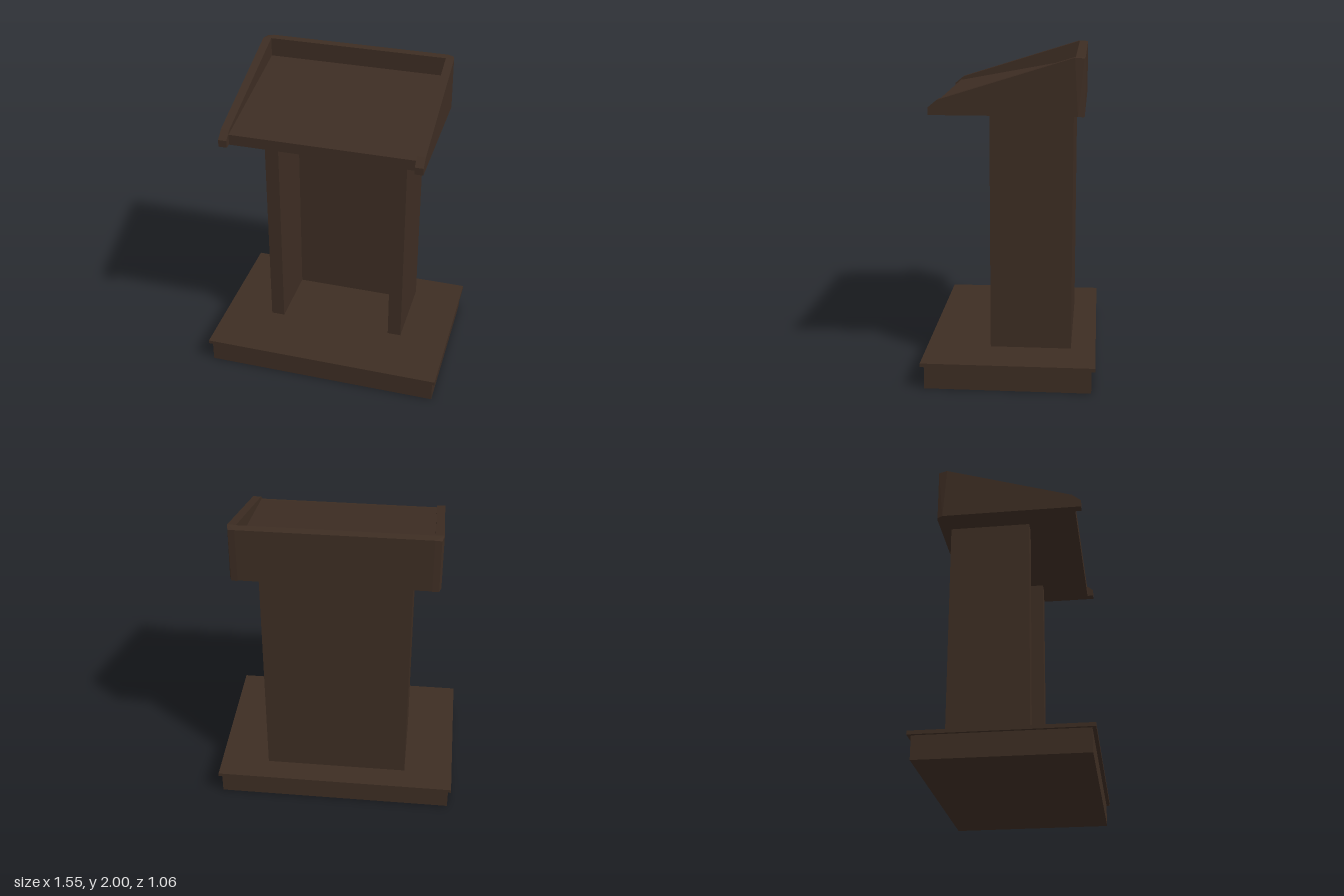
import * as THREE from 'three';
import { ConvexGeometry } from 'three/addons/geometries/ConvexGeometry.js';

export function createModel() {
  const group = new THREE.Group();
  group.name = 'lectern';
  const darkWood = new THREE.MeshStandardMaterial({ color: 0x3d2d23 });
  darkWood.name = 'darkWood';

  const add = (name, geometry) => {
    const mesh = new THREE.Mesh(geometry, darkWood);
    mesh.name = name;
    group.add(mesh);
    return mesh;
  };

  // Box given by its min and max on each axis
  const box = (name, x0, x1, y0, y1, z0, z1) =>
    add(name, new THREE.BoxGeometry(x1 - x0, y1 - y0, z1 - z0))
      .position.set((x0 + x1) / 2, (y0 + y1) / 2, (z0 + z1) / 2);

  // Side profile in (z, y), extruded from x0 to x1
  const profile = (name, points, x0, x1) => {
    const shape = new THREE.Shape(points.map(([z, y]) => new THREE.Vector2(z, y)));
    const mesh = add(name, new THREE.ExtrudeGeometry(shape, { depth: x1 - x0, bevelEnabled: false }));
    mesh.rotation.y = -Math.PI / 2;
    mesh.position.x = x1;
  };

  // Base: plinth with a thin overhanging top
  box('plinth', -0.755, 0.755, 0, 0.145, -0.508, 0.508);
  box('plinthTop', -0.773, 0.773, 0.145, 0.168, -0.53, 0.53);

  // Column, open at the front
  box('columnBack', -0.37, 0.37, 0.168, 1.66, -0.375, -0.29);
  for (const [side, s] of [['left', 1], ['right', -1]]) {
    const [a, b] = [0.37 * s, 0.458 * s].sort((p, q) => p - q);
    box(side + 'ColumnPanel', a, b, 0.168, 1.66, -0.375, 0.13);
  }

  // Sloping desk with a narrow ledge along the front
  profile('readingDesk', [
    [-0.385, 1.66], [0.435, 1.66], [0.435, 1.727], [0.415, 1.73], [-0.385, 1.88],
  ], -0.57, 0.57);

  // Back rail
  box('backRail', -0.57, 0.57, 1.66, 2, -0.442, -0.385);

  // Side cheeks and the chamfered corners joining them to the back rail
  for (const [side, s] of [['left', 1], ['right', -1]]) {
    const [a, b] = [0.57 * s, 0.622 * s].sort((p, q) => p - q);
    profile(side + 'Cheek', [
      [-0.403, 1.66], [0.475, 1.66], [0.475, 1.705], [0.42, 1.75], [-0.382, 2],
    ], a, b);
    add(side + 'BackCorner', new ConvexGeometry([
      [0.57, 1.655, -0.442], [0.57, 2, -0.442], [0.622, 1.66, -0.403],
      [0.622, 2, -0.382], [0.57, 1.66, -0.403], [0.57, 2, -0.382],
      [0.61, 1.995, -0.436], [0.61, 1.655, -0.436],
    ].map(([x, y, z]) => new THREE.Vector3(x * s, y, z))));
  }

  return group;
}
